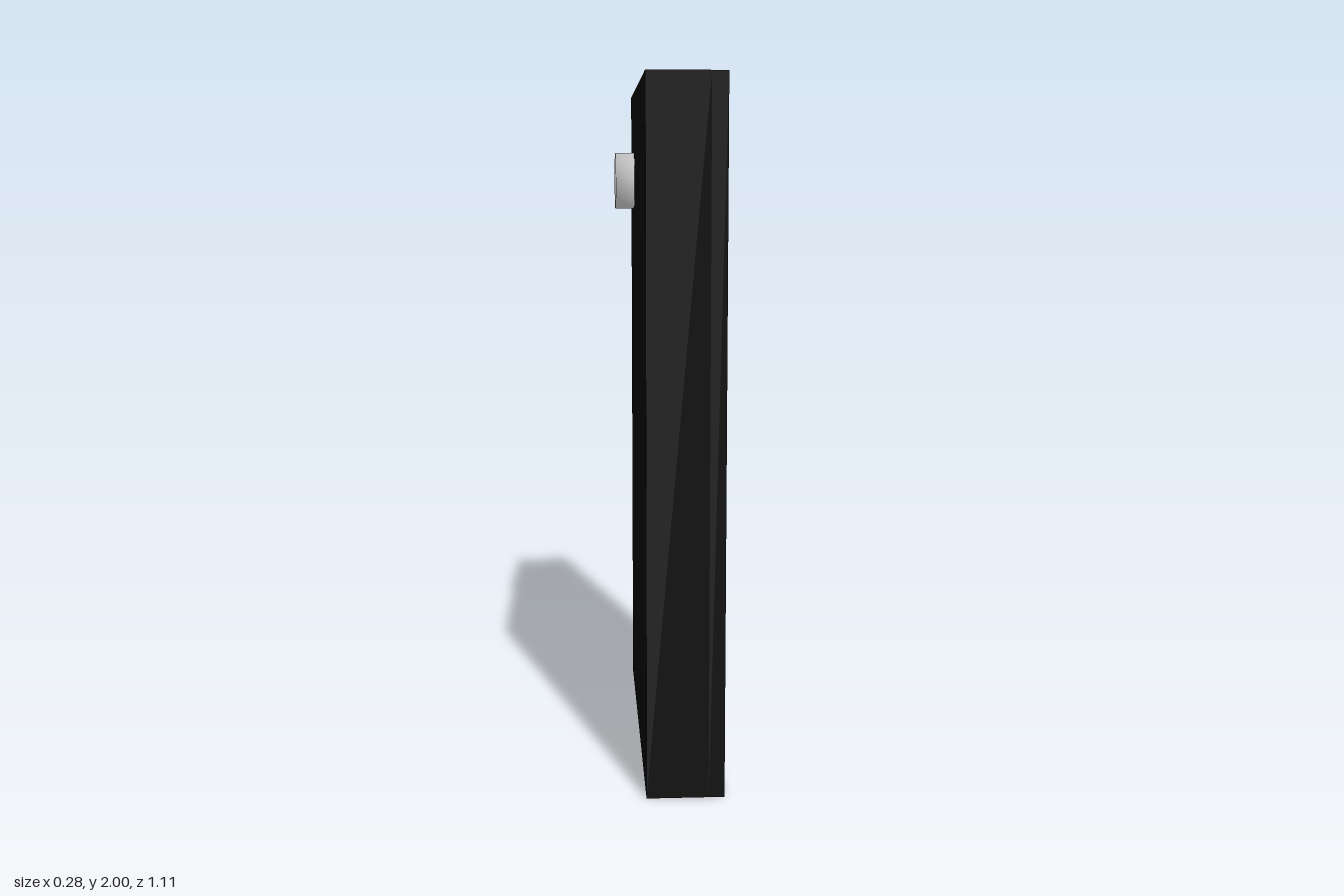
import * as THREE from 'three';
import { mergeVertices } from 'three/addons/utils/BufferGeometryUtils.js';

const BACK = -0.08, FLOOR = 0.095, FACE = 0.14, HALF_W = 0.555, HEIGHT = 2;

// Recesses in the face: lower and upper edge, half width at each
const openings = {
  screen: [0.25, 1.895, 0.45, 0.45],
  speakerSlot: [1.93, 1.965, 0.163, 0.172],
  homeButton: [0.085, 0.165, 0.172, 0.163],
};

const trapezoid = ([y0, y1, w0, w1]) => [
  new THREE.Vector2(-w0, y0), new THREE.Vector2(w0, y0),
  new THREE.Vector2(w1, y1), new THREE.Vector2(-w1, y1),
];

export function createModel() {
  const model = new THREE.Group();
  const black = new THREE.MeshStandardMaterial({ color: 0x050505 });
  const grey = new THREE.MeshStandardMaterial({ color: 0xcccccc });
  const add = (name, geometry, material) => {
    const mesh = new THREE.Mesh(geometry, material);
    mesh.name = name;
    model.add(mesh);
    return mesh;
  };

  // Solid rear of the case
  add('caseBack', new THREE.BoxGeometry(FLOOR - BACK, HEIGHT, HALF_W * 2), black)
    .position.set((FLOOR + BACK) / 2, HEIGHT / 2, 0);

  // Front frame with the recesses cut through it
  const frame = new THREE.Shape(trapezoid([0, HEIGHT, HALF_W, HALF_W]));
  for (const o of Object.values(openings)) frame.holes.push(new THREE.Path(trapezoid(o)));
  const frameGeometry = new THREE.ExtrudeGeometry(frame, { depth: FACE - FLOOR, bevelEnabled: false });
  frameGeometry.rotateY(Math.PI / 2).translate(FLOOR, 0, 0);
  add('frontFrame', frameGeometry, black);

  // Grey panels at the bottom of each recess
  for (const [name, o] of Object.entries(openings)) {
    const panel = new THREE.ShapeGeometry(new THREE.Shape(trapezoid(o)));
    panel.rotateY(Math.PI / 2).translate(FLOOR + 0.002, 0, 0);
    add(name, panel, grey);
  }

  // Ten-sided camera lens, shaded smoothly over its rim
  let lens = new THREE.CylinderGeometry(0.092, 0.092, 0.06, 10);
  lens.deleteAttribute('normal');
  lens.deleteAttribute('uv');
  lens = mergeVertices(lens);
  lens.computeVertexNormals();
  lens.rotateZ(Math.PI / 2);
  add('cameraLens', lens, grey).position.set(BACK - 0.03, 1.722, -0.33);

  return model;
}
